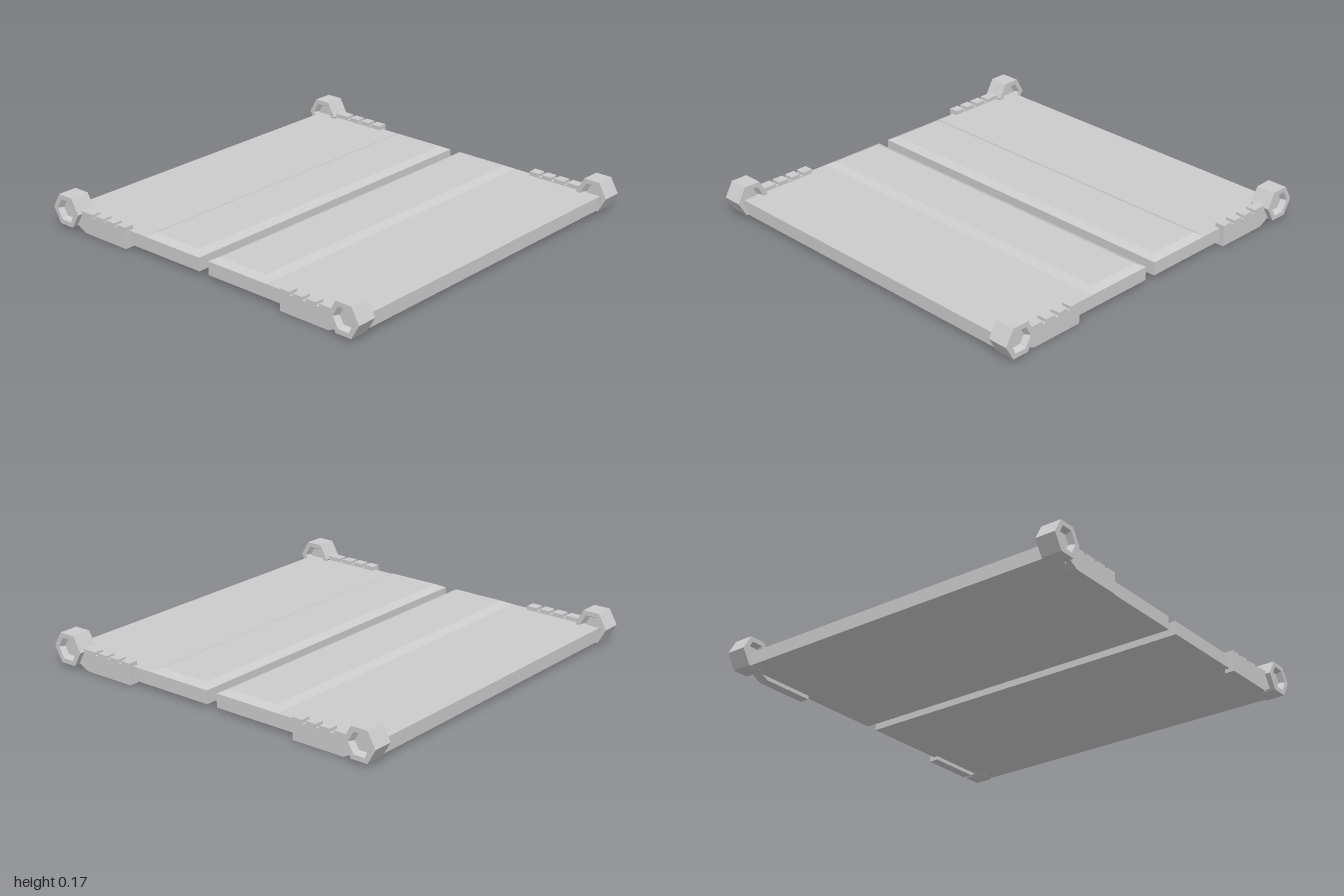
import * as THREE from 'three';

const grey = () => new THREE.MeshStandardMaterial({ color: 0xcccccc, flatShading: true });

function part(name, geometry, x = 0, y = 0, z = 0) {
  const mesh = new THREE.Mesh(geometry, grey());
  mesh.name = name;
  mesh.position.set(x, y, z);
  return mesh;
}

// Box whose top is drawn in on all four sides
function bevelledBox(w, h, d, inset) {
  const g = new THREE.BoxGeometry(w, h, d);
  const p = g.attributes.position;
  for (let i = 0; i < p.count; i++) {
    if (p.getY(i) < 0) continue;
    p.setX(i, p.getX(i) - Math.sign(p.getX(i)) * inset);
    p.setZ(i, p.getZ(i) - Math.sign(p.getZ(i)) * inset);
  }
  g.computeVertexNormals();
  return g;
}

// Side rail with a notched top and a chamfered lower end, drawn in (z, y)
function railGeometry(width) {
  const top = 0.112, low = 0.096;
  const shape = new THREE.Shape();
  shape.moveTo(0.51, 0);
  shape.lineTo(0.80, 0);
  shape.lineTo(0.86, 0.03);
  shape.lineTo(0.86, top);
  for (const z of [0.735, 0.655, 0.578]) {
    shape.lineTo(z + 0.01, top);
    shape.lineTo(z + 0.01, low);
    shape.lineTo(z - 0.01, low);
    shape.lineTo(z - 0.01, top);
  }
  shape.lineTo(0.51, top);
  shape.closePath();
  const g = new THREE.ExtrudeGeometry(shape, { depth: width, bevelEnabled: false });
  g.rotateY(-Math.PI / 2);
  g.translate(width / 2, 0, 0);
  return g;
}

// Hexagonal nut lying along x, with a tapered recess in both ends
function nutGeometry() {
  const h = 0.053, floor = 0.025;
  const profile = [
    [0, -floor], [0.046, -floor], [0.062, -h], [0.09, -h],
    [0.09, h], [0.062, h], [0.046, floor], [0, floor],
  ].map(([r, y]) => new THREE.Vector2(r, y));
  const g = new THREE.LatheGeometry(profile, 6);
  g.rotateZ(Math.PI / 2);
  return g;
}

// One half: slab, raised panel, and a rail and nut at each side
function createHalf(name) {
  const half = new THREE.Group();
  half.name = name;
  half.add(part('slab', new THREE.BoxGeometry(1.886, 0.07, 0.915), 0, 0.055, 0.4875));
  half.add(part('raisedPanel', bevelledBox(1.886, 0.02, 0.37, 0.04), 0, 0.1, 0.215));
  for (const side of [-1, 1]) {
    half.add(part('notchedRail', railGeometry(0.052), side * 0.943, 0, 0));
    half.add(part('hexNut', nutGeometry(), side * 0.943, 0.097, 0.91));
  }
  return half;
}

export function createModel() {
  const model = new THREE.Group();
  model.name = 'splitPlate';
  const back = createHalf('backHalf');
  back.rotation.y = Math.PI;
  model.add(createHalf('frontHalf'), back);
  return model;
}
